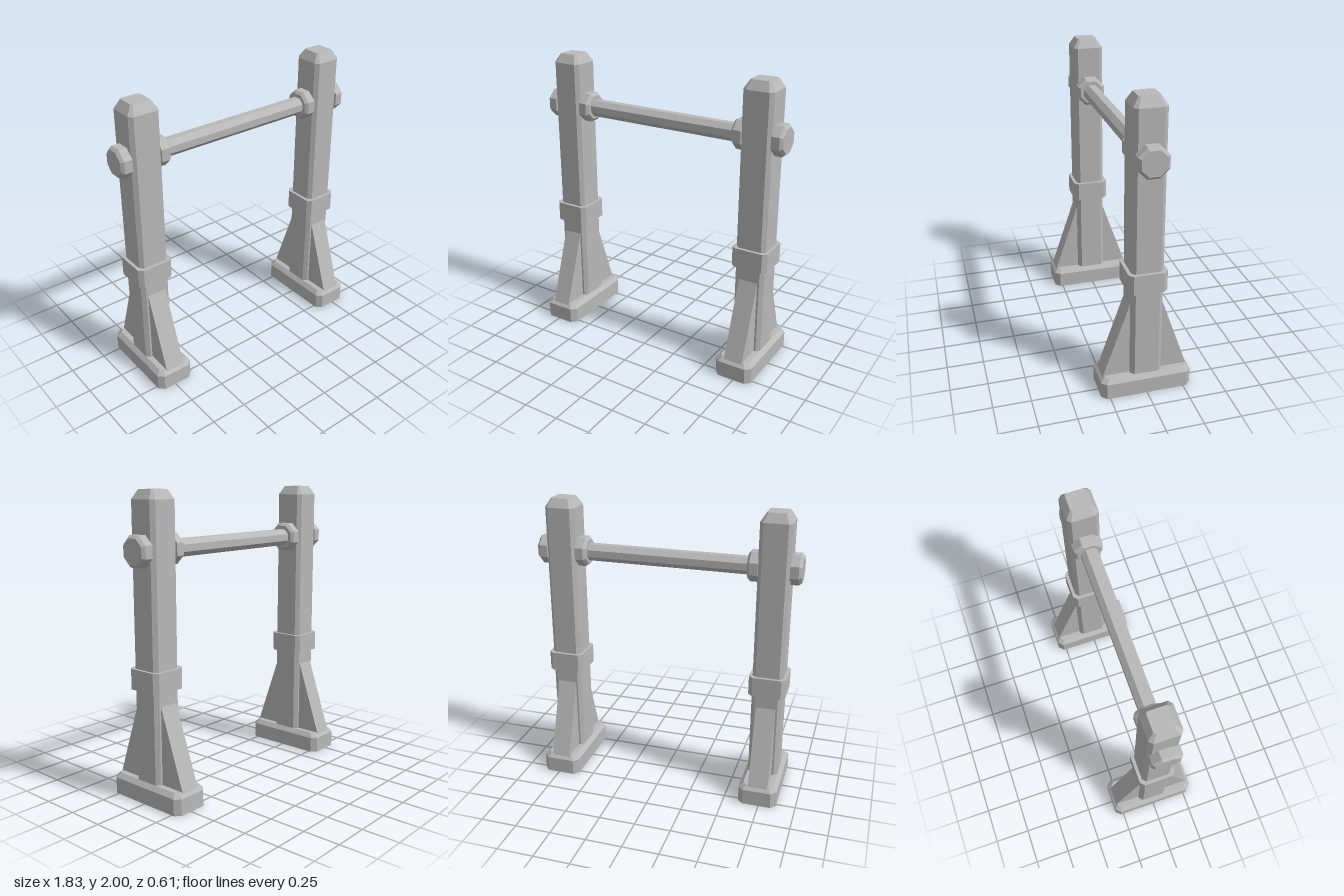
import * as THREE from 'three';

// Corners of a rectangle with cut corners, in the xz plane
function ring([y, hx, hz, c]) {
  return [
    [hx, hz - c], [hx - c, hz], [-hx + c, hz], [-hx, hz - c],
    [-hx, -hz + c], [-hx + c, -hz], [hx - c, -hz], [hx, -hz + c],
  ].map(([x, z]) => [x, y, z]);
}

// Faceted solid through sections [y, half x, half z, corner cut], bottom to top
function loft(sections) {
  const rings = sections.map(ring);
  const pos = [];
  const tri = (a, b, c) => pos.push(...a, ...b, ...c);
  for (let s = 0; s + 1 < rings.length; s++) {
    for (let i = 0; i < 8; i++) {
      const j = (i + 1) % 8;
      const [a, b, c, d] = [rings[s][i], rings[s][j], rings[s + 1][j], rings[s + 1][i]];
      tri(a, c, b);
      tri(a, d, c);
    }
  }
  const bottom = rings[0], top = rings[rings.length - 1];
  for (let i = 1; i < 7; i++) {
    tri(bottom[0], bottom[i], bottom[i + 1]);
    tri(top[0], top[i + 1], top[i]);
  }
  const g = new THREE.BufferGeometry();
  g.setAttribute('position', new THREE.Float32BufferAttribute(pos, 3));
  g.computeVertexNormals();
  return g;
}

// Regular octagon section with flat sides at distance r
const octagon = (y, r) => [y, r, r, r * (2 - Math.SQRT2)];

export function createModel() {
  const model = new THREE.Group();
  model.name = 'barFrame';
  const grey = new THREE.MeshStandardMaterial({ color: 0xb8b8b8, flatShading: true });
  grey.name = 'grey';

  const add = (parent, name, geometry) => {
    const mesh = new THREE.Mesh(geometry, grey);
    mesh.name = name;
    parent.add(mesh);
    return mesh;
  };

  const postGeo = loft([[0.1, 0.105, 0.105, 0.025], [1.94, 0.105, 0.105, 0.025], [2, 0.068, 0.068, 0.012]]);
  const collarGeo = loft([[0.75, 0.127, 0.127, 0.028], [0.885, 0.127, 0.127, 0.028]]);
  const baseGeo = loft([[0, 0.133, 0.305, 0.035], [0.11, 0.133, 0.305, 0.035], [0.14, 0.105, 0.277, 0.025]]);
  const nutGeo = loft([octagon(0, 0.098), octagon(0.056, 0.098), octagon(0.075, 0.08)]);

  // Triangular brace leaning on the post, extruded across x
  const profile = new THREE.Shape([
    new THREE.Vector2(0.09, 0.12), new THREE.Vector2(0.29, 0.12),
    new THREE.Vector2(0.104, 0.66), new THREE.Vector2(0.09, 0.66),
  ]);
  const braceGeo = new THREE.ExtrudeGeometry(profile, { depth: 0.134, bevelEnabled: false });
  braceGeo.translate(0, 0, -0.067).rotateY(-Math.PI / 2);

  for (const side of [-1, 1]) {
    const stand = new THREE.Group();
    stand.name = side > 0 ? 'leftStand' : 'rightStand';
    stand.position.x = side * 0.735;
    model.add(stand);
    add(stand, 'post', postGeo);
    add(stand, 'collar', collarGeo);
    add(stand, 'base', baseGeo);
    add(stand, 'frontBrace', braceGeo);
    add(stand, 'backBrace', braceGeo).rotation.y = Math.PI;

    // Nuts on both sides of the post
    for (const dir of [-1, 1]) {
      const nut = add(stand, dir === side ? 'outerNut' : 'innerNut', nutGeo);
      nut.position.set(dir * 0.103, 1.632, 0);
      nut.rotation.z = -dir * Math.PI / 2;
    }
  }

  // Crossbar between the stands
  const bar = add(model, 'crossbar', loft([octagon(-0.7, 0.057), octagon(0.7, 0.057)]));
  bar.position.y = 1.63;
  bar.rotation.z = Math.PI / 2;

  return model;
}
